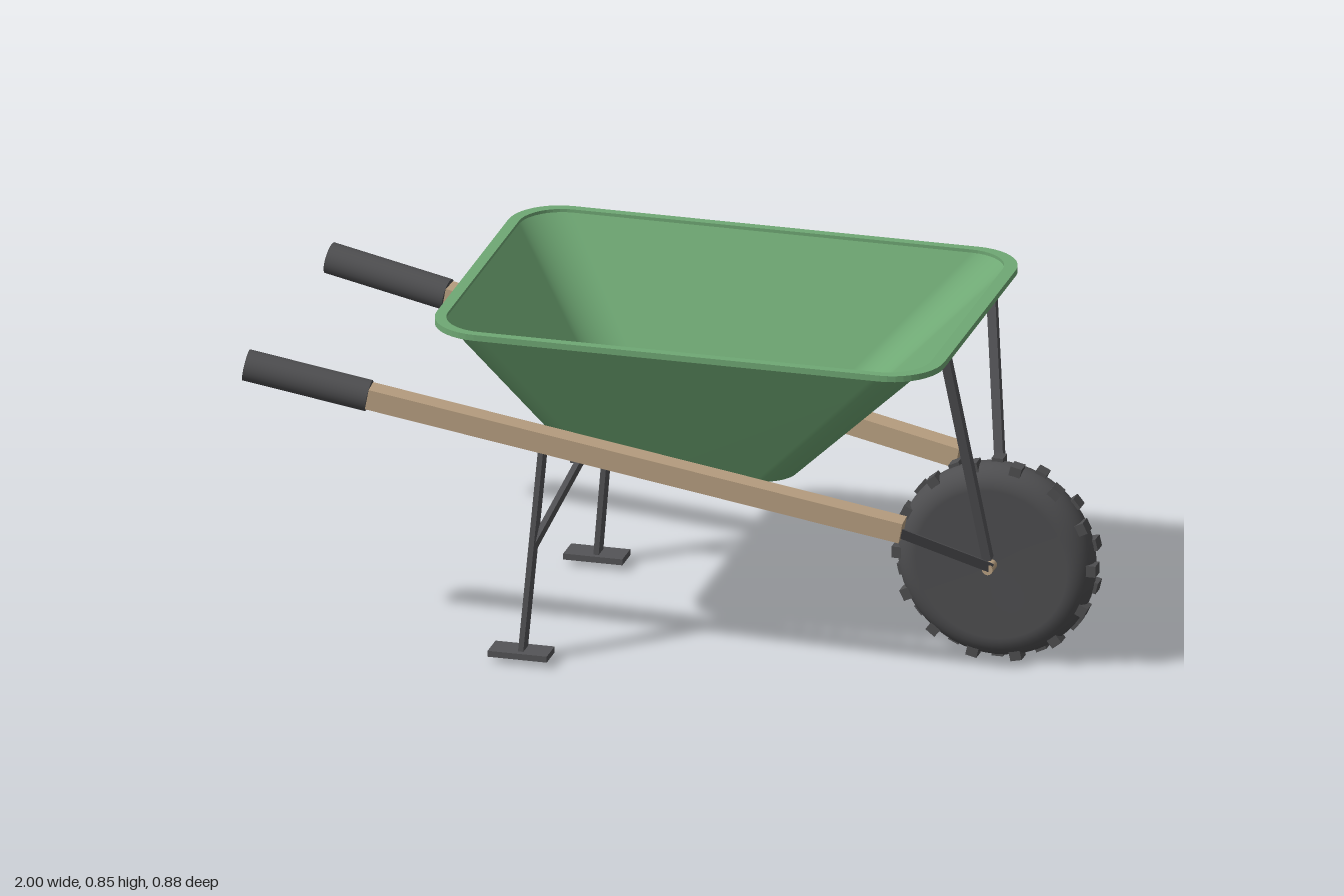
import * as THREE from 'three';

const mat = (name, color, side = THREE.FrontSide) => {
  const m = new THREE.MeshStandardMaterial({ color, side });
  m.name = name;
  return m;
};
const V = (x, y, z) => new THREE.Vector3(x, y, z);

// Outline of a rounded rectangle as [x, z] pairs
function roundedRect(cx, hx, hz, r, steps = 10) {
  const pts = [];
  [[1, 1], [-1, 1], [-1, -1], [1, -1]].forEach(([sx, sz], q) => {
    for (let i = 0; i <= steps; i++) {
      const a = (q + i / steps) * Math.PI / 2;
      pts.push([cx + sx * (hx - r) + Math.cos(a) * r, sz * (hz - r) + Math.sin(a) * r]);
    }
  });
  return pts;
}

// Sloping walls between two outlines
function loftWalls(low, yLow, high, yHigh) {
  const n = low.length, pos = [], index = [];
  low.forEach(([x, z]) => pos.push(x, yLow, z));
  high.forEach(([x, z]) => pos.push(x, yHigh, z));
  for (let i = 0; i < n; i++) {
    const j = (i + 1) % n;
    index.push(i, n + i, j, j, n + i, n + j);
  }
  const g = new THREE.BufferGeometry();
  g.setAttribute('position', new THREE.Float32BufferAttribute(pos, 3));
  g.setIndex(index);
  g.computeVertexNormals();
  return g;
}

const toVec2 = (pts) => pts.map(([x, z]) => new THREE.Vector2(x, z));

export function createModel() {
  const root = new THREE.Group();
  root.name = 'wheelbarrow';
  const green = mat('green paint', 0x6fa874, THREE.DoubleSide);
  const wood = mat('wood', 0xbba283);
  const steel = mat('dark steel', 0x545457);
  const rubber = mat('rubber', 0x4e4e50);

  const add = (name, geo, material, parent = root) => {
    const m = new THREE.Mesh(geo, material);
    m.name = name;
    parent.add(m);
    return m;
  };
  // Box bar from a to b; w across, h along the up direction
  const bar = (name, a, b, w, h, material, up = V(0, 1, 0)) => {
    const m = add(name, new THREE.BoxGeometry(w, h, a.distanceTo(b)), material);
    m.up.copy(up);
    m.position.copy(a).add(b).multiplyScalar(0.5);
    m.lookAt(b);
    return m;
  };

  // Tray: walls, floor and flat rim
  const low = roundedRect(0.025, 0.272, 0.227, 0.08);
  const high = roundedRect(0.08, 0.593, 0.418, 0.105);
  add('trayWalls', loftWalls(low, 0.474, high, 0.85), green);
  const floor = new THREE.ShapeGeometry(new THREE.Shape(toVec2(low)));
  floor.scale(1, -1, 1).rotateX(-Math.PI / 2);
  add('trayFloor', floor, green).position.y = 0.474;
  const rimShape = new THREE.Shape(toVec2(roundedRect(0.0825, 0.6225, 0.44, 0.125)));
  rimShape.holes.push(new THREE.Path(toVec2(high)));
  const rim = new THREE.ExtrudeGeometry(rimShape, { depth: 0.015, bevelEnabled: false });
  rim.rotateX(-Math.PI / 2);
  add('trayRim', rim, green).position.y = 0.843;

  // Cross bar under the back of the tray
  add('crossBar', new THREE.BoxGeometry(0.04, 0.014, 0.42), steel).position.set(-0.222, 0.474, 0);

  // Wheel: lathed tyre with staggered lugs
  const wheel = new THREE.Group();
  wheel.name = 'wheel';
  wheel.position.set(0.748, 0.253, 0);
  root.add(wheel);
  const profile = [new THREE.Vector2(0, -0.05)];
  for (let i = 0; i <= 16; i++) {
    const a = -Math.PI / 2 + (i / 16) * Math.PI;
    profile.push(new THREE.Vector2(0.186 + 0.056 * Math.cos(a), 0.053 * Math.sin(a)));
  }
  profile.push(new THREE.Vector2(0, 0.05));
  add('tyre', new THREE.LatheGeometry(profile, 56).rotateX(Math.PI / 2), rubber, wheel);
  const lugGeo = new THREE.BoxGeometry(0.028, 0.024, 0.037);
  for (let i = 0; i < 28; i++) {
    const a = (i / 28) * Math.PI * 2;
    const lug = add('tyreLug', lugGeo, rubber, wheel);
    lug.position.set(Math.cos(a) * 0.238, Math.sin(a) * 0.238, i % 2 ? -0.017 : 0.017);
    lug.rotation.z = a - Math.PI / 2;
  }
  add('axle', new THREE.CylinderGeometry(0.013, 0.013, 0.18, 20).rotateX(Math.PI / 2), wood, wheel);

  // Paired parts on both sides
  for (const s of [1, -1]) {
    const tip = V(-0.993, 0.695, 0.366 * s), front = V(0.587, 0.4, 0.256 * s);
    const gripEnd = tip.clone().lerp(front, 0.187);
    bar('handleBeam', tip.clone().lerp(front, 0.1), front, 0.054, 0.05, wood);

    // Rubber grip around the beam's end
    const grip = add('grip', new THREE.CylinderGeometry(0.038, 0.038, tip.distanceTo(gripEnd), 28), rubber);
    grip.position.copy(tip).add(gripEnd).multiplyScalar(0.5);
    grip.quaternion.setFromUnitVectors(V(0, 1, 0), gripEnd.clone().sub(tip).normalize());

    // Wheel fork and tray brace
    bar('wheelFork', V(0.75, 0.255, 0.075 * s), V(0.57, 0.4, 0.268 * s), 0.022, 0.022, steel);
    bar('trayBrace', V(0.744, 0.275, 0.07 * s), V(0.677, 0.836, 0.205 * s), 0.022, 0.022, steel, V(1, 0, 0));

    // Leg, strut and foot
    bar('leg', V(-0.325, 0.018, 0.331 * s), V(-0.278, 0.55, 0.316 * s), 0.042, 0.013, steel, V(1, 0, 0));
    bar('legStrut', V(-0.302, 0.29, 0.318 * s), V(-0.217, 0.476, 0.205 * s), 0.034, 0.013, steel, V(1, 0, 0));
    add('foot', new THREE.BoxGeometry(0.145, 0.015, 0.07), steel).position.set(-0.328, 0.025, 0.332 * s);
  }
  return root;
}
